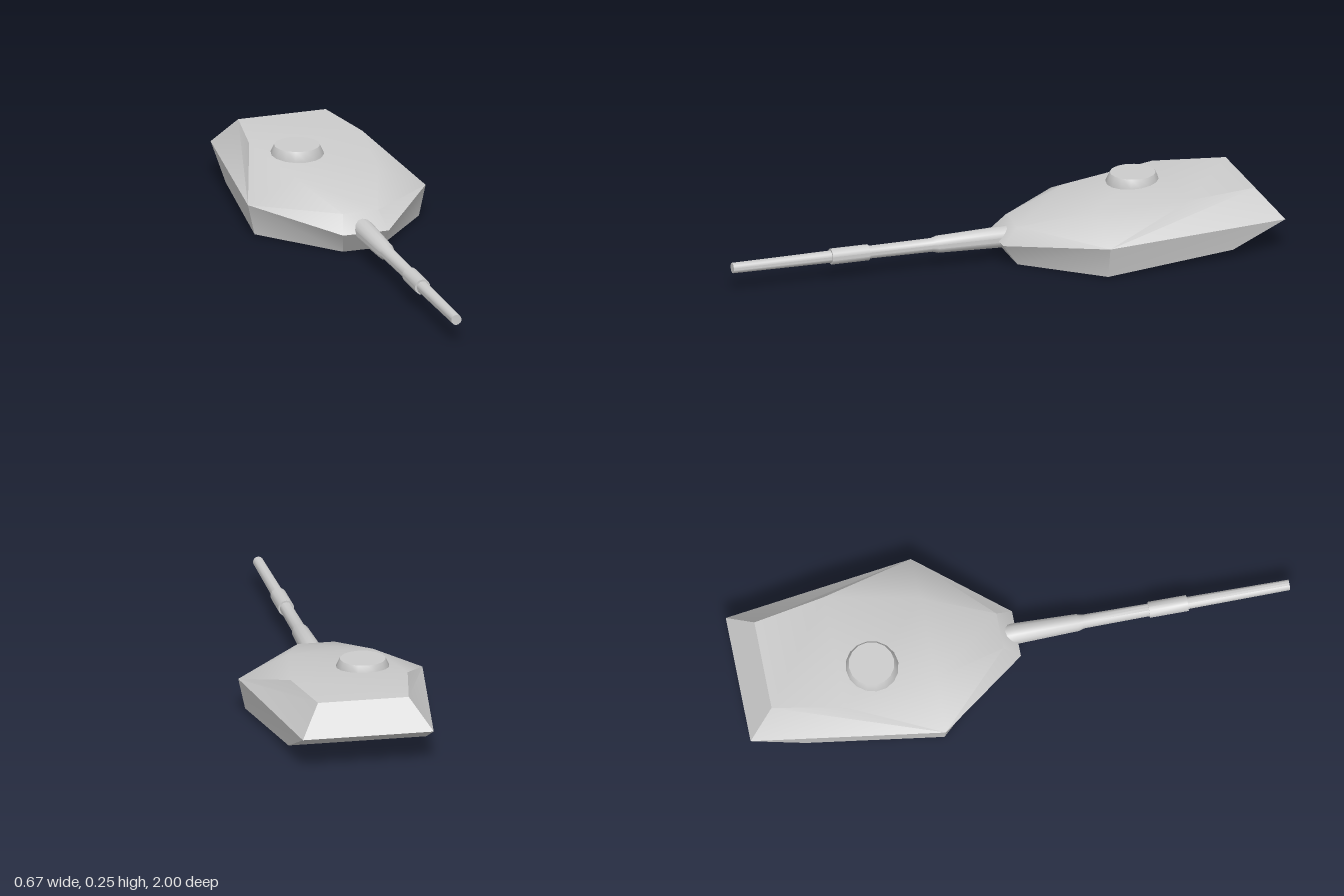
import * as THREE from 'three';
import { toCreasedNormals } from 'three/addons/utils/BufferGeometryUtils.js';

const material = new THREE.MeshStandardMaterial({ color: 0xcccccc, side: THREE.DoubleSide });

function part(name, geometry, crease) {
  const mesh = new THREE.Mesh(toCreasedNormals(geometry, crease), material);
  mesh.name = name;
  return mesh;
}

// Faceted shell, open underneath, described by its +x half and mirrored
function shellGeometry() {
  const low = [[0.067, 0.002, -0.05], [0.31, 0.009, -0.31], [0.25, 0.034, -0.8]];
  const mid = [[0.086, 0.085, 0.01], [0.335, 0.122, -0.31], [0.238, 0.122, -1]];
  const top = [[0.067, 0.145, -0.05], [0.155, 0.202, -0.31], [0.213, 0.227, -0.65], [0.165, 0.227, -0.91]];
  const pos = [];
  const flip = ([x, y, z]) => [-x, y, z];
  const tri = (a, b, c) => pos.push(...a, ...b, ...c);
  const bothSides = (a, b, c) => {
    tri(a, b, c);
    tri(flip(c), flip(b), flip(a));
  };

  // Lower side walls
  for (let i = 0; i < 2; i++) {
    bothSides(low[i], low[i + 1], mid[i + 1]);
    bothSides(low[i], mid[i + 1], mid[i]);
  }
  // Upper side slopes
  bothSides(mid[0], mid[1], top[0]);
  for (let i = 0; i < 3; i++) bothSides(mid[1], top[i + 1], top[i]);
  bothSides(mid[1], mid[2], top[3]);

  // Strip across the middle: front, roof and rear
  const spine = [low[0], mid[0], ...top, mid[2], low[2]];
  for (let i = 0; i < spine.length - 1; i++) {
    const a = spine[i], b = spine[i + 1];
    tri(a, b, flip(b));
    tri(a, flip(b), flip(a));
  }
  const g = new THREE.BufferGeometry();
  g.setAttribute('position', new THREE.Float32BufferAttribute(pos, 3));
  return g;
}

function lathe(points, sides) {
  return new THREE.LatheGeometry(points.map(([r, y]) => new THREE.Vector2(r, y)), sides);
}

export function createModel() {
  const model = new THREE.Group();
  model.name = 'turret';

  model.add(part('turretShell', shellGeometry(), 0.65));

  // Stepped gun barrel, breech end first
  const barrel = lathe([
    [0.038, -0.035], [0.038, 0.0], [0.031, 0.23], [0.025, 0.25], [0.023, 0.49],
    [0.029, 0.49], [0.029, 0.63], [0.022, 0.63], [0.019, 1], [0, 1],
  ], 14);
  barrel.rotateX(Math.PI / 2);
  const gun = part('gunBarrel', barrel, 0.6);
  gun.position.y = 0.088;
  model.add(gun);

  // Tapered commander's hatch, open below
  const hatch = part('hatch', lathe([[0.097, 0.211], [0.097, 0.216], [0.082, 0.248], [0, 0.248]], 16), 0.6);
  hatch.position.set(-0.074, 0, -0.53);
  model.add(hatch);

  return model;
}
